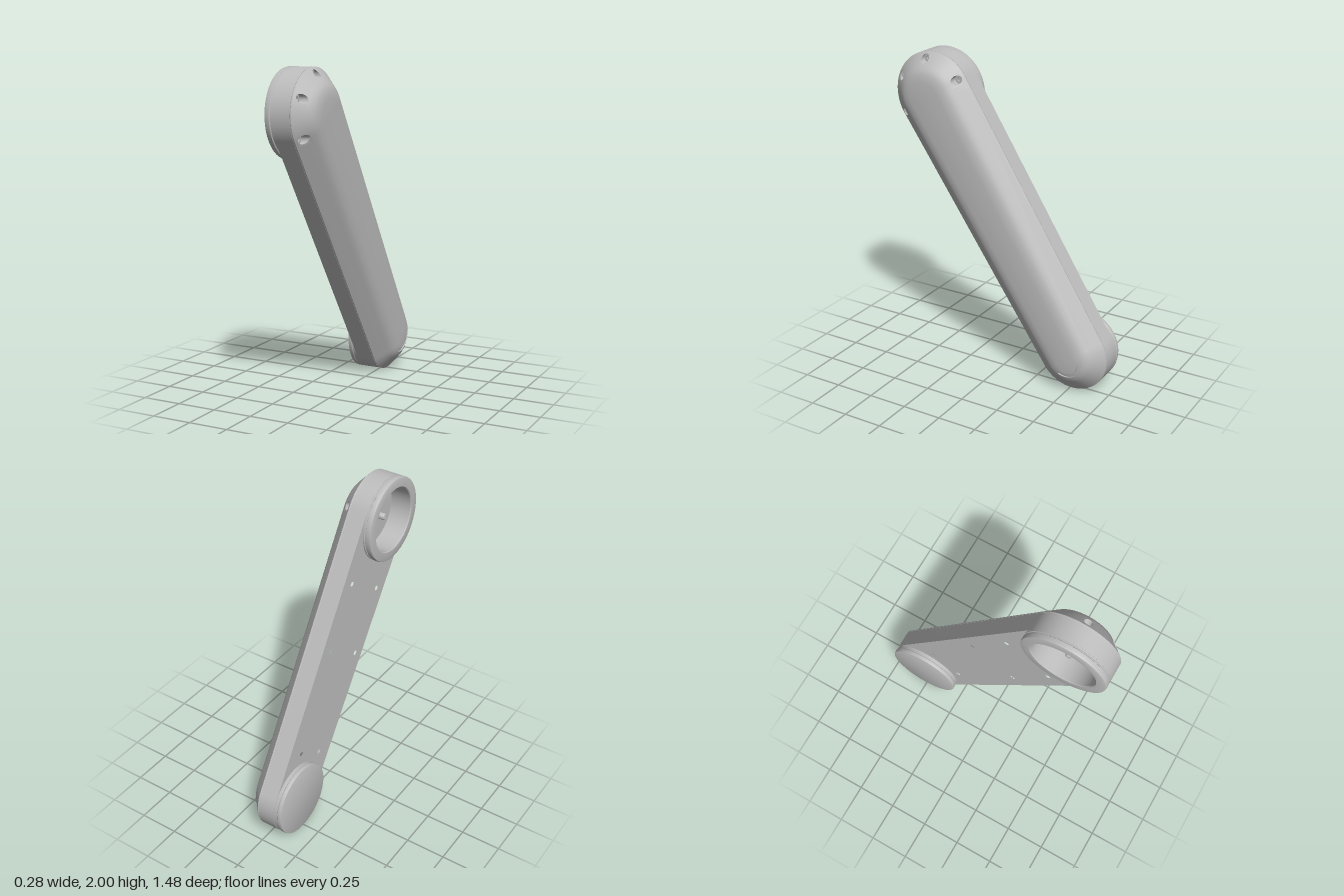
import * as THREE from 'three';
import { toCreasedNormals } from 'three/addons/utils/BufferGeometryUtils.js';

// The two pivot centres (z, y) and end radii of the tapered arm
const UP = { z: 0.475, y: 1.735, r: 0.265 };
const LOW = { z: -0.508, y: 0.232, r: 0.232 };
const LEN = Math.hypot(UP.z - LOW.z, UP.y - LOW.y);
const DIR = { z: (UP.z - LOW.z) / LEN, y: (UP.y - LOW.y) / LEN };
const AXIS = Math.atan2(DIR.y, DIR.z);
const HALF = Math.PI / 2 + Math.asin((UP.r - LOW.r) / LEN);
const N = 64;

// Stations round the outline: t slides from upper (0) to lower (1) pivot
function makeStations() {
  const s = [];
  const near = [1, 2, 3, 4, 5, 6].map(k => k * 0.0065);
  for (let i = 0; i <= N; i++) s.push({ t: 0, a: AXIS - HALF + (2 * HALF * i) / N });
  near.forEach(t => s.push({ t, a: AXIS + HALF }));
  const sweep = 2 * (Math.PI - HALF);
  for (let i = 0; i <= N; i++) s.push({ t: 1, a: AXIS + HALF + (sweep * i) / N });
  near.slice().reverse().forEach(t => s.push({ t, a: AXIS - HALF }));
  return s;
}
const stations = makeStations();
const COUNT = stations.length;

// Point on the outline at station i, moved inwards by inset d (Infinity = centre line)
function point(i, d, x) {
  const { t, a } = stations[(i + COUNT) % COUNT];
  const r = d === Infinity ? 0 : UP.r + (LOW.r - UP.r) * t - d;
  return [x,
    UP.y + (LOW.y - UP.y) * t + r * Math.sin(a),
    UP.z + (LOW.z - UP.z) * t + r * Math.cos(a)];
}

// Cover with chamfered rim, screw pockets and a curved slot
function coverGeometry() {
  const rows = [[0.005, 0.02], [0, 0.026], [0, 0.032], [0.006, 0.0375], [0.074, 0.1],
    [0.09, 0.113], [0.105, 0.122], [0.12, 0.128], [0.145, 0.134], [0.17, 0.137], [Infinity, 0.137]];
  const CHAMFER = 3, SLOT = 7, SINK = 0.01;
  const chamferX = d => 0.0375 + (d - 0.006) * 0.919;
  const pos = [];
  const quad = (a, b, c, e) => pos.push(...a, ...e, ...c, ...a, ...c, ...b);

  const screws = [-33, 26, 82, 148].map(deg => {
    const f = ((deg * Math.PI) / 180 - AXIS + HALF) / (2 * HALF);
    return Math.round(f * N);
  });
  const inScrew = i => screws.some(s => [i, i - COUNT].some(k => k >= s - 3 && k < s + 3));
  const slotIndex = deg => stations.findIndex(s => s.t === 1 && s.a >= (deg * Math.PI) / 180);
  const slot0 = slotIndex(174), slot1 = slotIndex(294);

  for (let k = 0; k < rows.length - 1; k++) {
    const [d0, x0] = rows[k], [d1, x1] = rows[k + 1];
    for (let i = 0; i < COUNT; i++) {
      if (k === CHAMFER && inScrew(i)) continue;
      const a = point(i, d0, x0), b = point(i + 1, d0, x0);
      const c = point(i + 1, d1, x1), e = point(i, d1, x1);
      if (k !== SLOT || i < slot0 || i >= slot1) { quad(a, b, c, e); continue; }
      // sunken slot floor, side walls and end walls
      const [la, lb, lc, le] = [a, b, c, e].map(p => [p[0] - SINK, p[1], p[2]]);
      quad(la, lb, lc, le);
      quad(a, b, lb, la);
      quad(le, lc, c, e);
      if (i === slot0) quad(e, a, la, le);
      if (i === slot1 - 1) quad(b, c, lc, lb);
    }
  }

  // screw pockets: square patch to round rim, wall, seat and inner socket
  for (const s of screws) {
    const border = [];
    const add = (i, f) => {
      const d = 0.006 + 0.068 * f;
      border.push(point(i, d, chamferX(d)));
    };
    for (let j = -3; j < 3; j++) add(s + j, 0);
    for (let j = 0; j < 6; j++) add(s + 3, j / 6);
    for (let j = 3; j > -3; j--) add(s + j, 1);
    for (let j = 0; j < 6; j++) add(s - 3, 1 - j / 6);
    const [, cy, cz] = point(s, 0.04, 0);
    const circle = (r, x) => border.map(p => {
      const a = Math.atan2(p[1] - cy, p[2] - cz);
      const y = cy + r * Math.sin(a), z = cz + r * Math.cos(a);
      return [x ?? chamferX(UP.r - Math.hypot(y - UP.y, z - UP.z)), y, z];
    });
    const loops = [border, circle(0.027), circle(0.027, 0.036), circle(0.013, 0.036),
      circle(0.013, 0.026), circle(0, 0.026)];
    for (let k = 0; k < loops.length - 1; k++) {
      for (let j = 0; j < border.length; j++) {
        const n = (j + 1) % border.length;
        quad(loops[k][j], loops[k][n], loops[k + 1][n], loops[k + 1][j]);
      }
    }
  }
  const g = new THREE.BufferGeometry();
  g.setAttribute('position', new THREE.Float32BufferAttribute(pos, 3));
  return toCreasedNormals(g, 0.5);
}

// Three pairs of holes in the flat back: distance along the arm and half spacing
const backHoles = [];
for (const [f, w] of [[0.24, 0.165], [0.475, 0.165], [0.84, 0.11]]) {
  for (const side of [-1, 1]) {
    backHoles.push({
      z: UP.z - DIR.z * LEN * f + side * w * DIR.y,
      y: UP.y - DIR.y * LEN * f - side * w * DIR.z,
    });
  }
}

// Straight-walled arm body, open at the upper pivot
function bodyGeometry() {
  const shape = new THREE.Shape(stations.map((s, i) => {
    const p = point(i, 0, 0);
    return new THREE.Vector2(-p[2], p[1]);
  }));
  const cut = (c, r) => shape.holes.push(new THREE.Path().absarc(-c.z, c.y, r, 0, Math.PI * 2, true));
  cut(UP, 0.203);
  backHoles.forEach(h => cut(h, 0.015));
  const g = new THREE.ExtrudeGeometry(shape, { depth: 0.114, bevelEnabled: false, curveSegments: 24 });
  g.rotateY(Math.PI / 2).translate(-0.09, 0, 0);
  return toCreasedNormals(g, 0.5);
}

// Turned part whose axis points out of the back (-x); profile is [radius, height]
function turned(profile) {
  const g = new THREE.LatheGeometry(profile.map(p => new THREE.Vector2(...p)), 72);
  return toCreasedNormals(g.rotateZ(Math.PI / 2), 0.5);
}

export function createModel() {
  const group = new THREE.Group();
  const grey = new THREE.MeshStandardMaterial({ color: 0xbdbdbd });
  grey.name = 'grey';
  const add = (name, geometry, c) => {
    const m = new THREE.Mesh(geometry, grey);
    m.name = name;
    if (c) m.position.set(c.x ?? 0, c.y, c.z);
    group.add(m);
  };

  add('armBody', bodyGeometry());
  add('cover', coverGeometry());

  // Open socket at the upper pivot with its shaft
  add('upperSocket', turned([[0.264, 0.08], [0.264, 0.098], [0.258, 0.1], [0.258, 0.104], [0.265, 0.108],
    [0.265, 0.13], [0.262, 0.137], [0.255, 0.14], [0.205, 0.14], [0.2, 0.135], [0.2, 0], [0, 0]]), UP);
  add('socketPin', turned([[0.02, 0], [0.02, 0.072], [0.016, 0.08], [0.008, 0.08], [0.008, 0.07], [0, 0.07]]), UP);

  // Closed boss at the lower pivot
  add('lowerBoss', turned([[0.229, 0.08], [0.229, 0.112], [0.232, 0.116],
    [0.232, 0.132], [0.23, 0.138], [0.225, 0.14], [0, 0.14]]), LOW);

  // Recessed screw heads in the flat back
  backHoles.forEach(h => add('backScrew', turned([[0.016, 0.06], [0.006, 0.06], [0.006, 0.05], [0, 0.05]]), h));
  return group;
}
